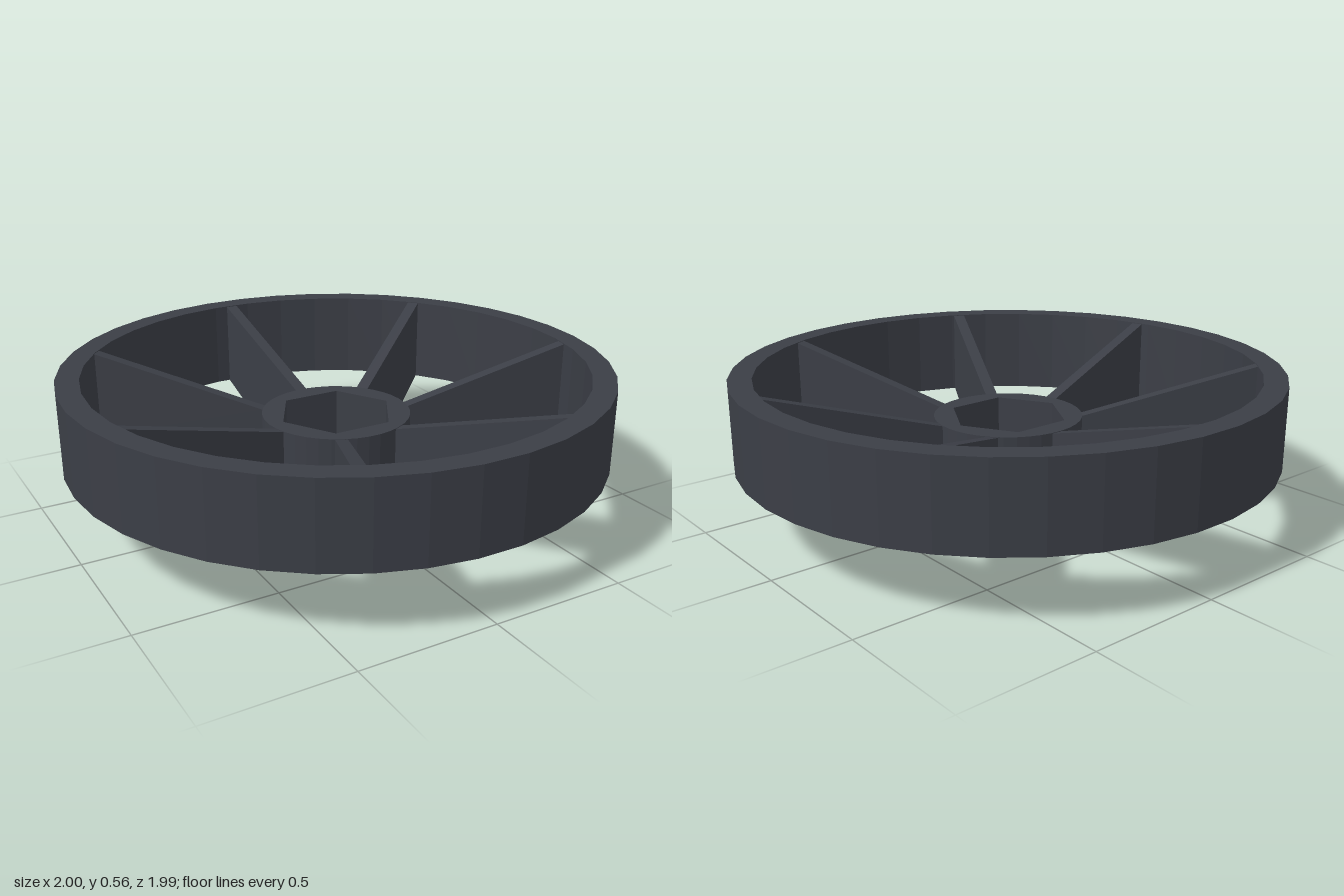
import * as THREE from 'three';

const SIDES = 38;
const SPOKES = 7;
const RIM_IN = 0.915, RIM_TOP = 0.555;
const HUB_R = 0.275, HUB_TOP = 0.37, FLOOR = 0.1;
const SPOKE_T = 0.045;

const material = new THREE.MeshStandardMaterial({ color: 0x3b3e46, flatShading: true });

function addMesh(parent, name, geometry) {
  const mesh = new THREE.Mesh(geometry, material);
  mesh.name = name;
  parent.add(mesh);
  return mesh;
}

// Round slab with a hole, standing from y0 to y1
function hubSlab(hole, y0, y1) {
  const shape = new THREE.Shape().absarc(0, 0, HUB_R, 0, Math.PI * 2);
  shape.holes.push(hole);
  const geometry = new THREE.ExtrudeGeometry(shape, {
    depth: y1 - y0, bevelEnabled: false, curveSegments: SIDES / 2,
  });
  return geometry.rotateX(-Math.PI / 2).translate(0, y0, 0);
}

export function createModel() {
  const wheel = new THREE.Group();
  wheel.name = 'wheel';

  // Rim: rectangular band whose underside follows the cone of the spokes
  const profile = [
    [RIM_IN, 0.22], [1, 0.25], [1, RIM_TOP], [RIM_IN, RIM_TOP], [RIM_IN, 0.22],
  ].map(([r, y]) => new THREE.Vector2(r, y));
  addMesh(wheel, 'rim', new THREE.LatheGeometry(profile, SIDES).rotateY(Math.PI / 2));

  // Hub: floor with a round bore, wall with a hexagonal pocket
  const hub = new THREE.Group();
  hub.name = 'hub';
  wheel.add(hub);
  const bore = new THREE.Path().absarc(0, 0, 0.07, 0, Math.PI * 2);
  addMesh(hub, 'hubFloor', hubSlab(bore, 0, FLOOR));
  const corners = Array.from({ length: 6 }, (_, i) => {
    const a = (i * Math.PI) / 3;
    return new THREE.Vector2(0.22 * Math.cos(a), 0.22 * Math.sin(a));
  });
  const hexagon = new THREE.Path(corners);
  hexagon.closePath();
  addMesh(hub, 'hubWall', hubSlab(hexagon, FLOOR, HUB_TOP));

  // Spokes: thin webs rising from hub to rim, sunk slightly into both
  const web = new THREE.Shape([
    [0.262, 0.002], [HUB_R, 0.002], [RIM_IN, 0.22], [0.93, 0.226],
    [0.93, RIM_TOP - 0.002], [RIM_IN, RIM_TOP - 0.002], [HUB_R, HUB_TOP - 0.002], [0.262, HUB_TOP - 0.002],
  ].map(([r, y]) => new THREE.Vector2(r, y)));
  const spokeGeometry = new THREE.ExtrudeGeometry(web, { depth: SPOKE_T, bevelEnabled: false })
    .translate(0, 0, -SPOKE_T / 2);
  for (let i = 0; i < SPOKES; i++) {
    const spoke = addMesh(wheel, `spoke${i + 1}`, spokeGeometry);
    spoke.rotation.y = Math.PI / 2 + (i * Math.PI * 2) / SPOKES;
  }

  return wheel;
}
